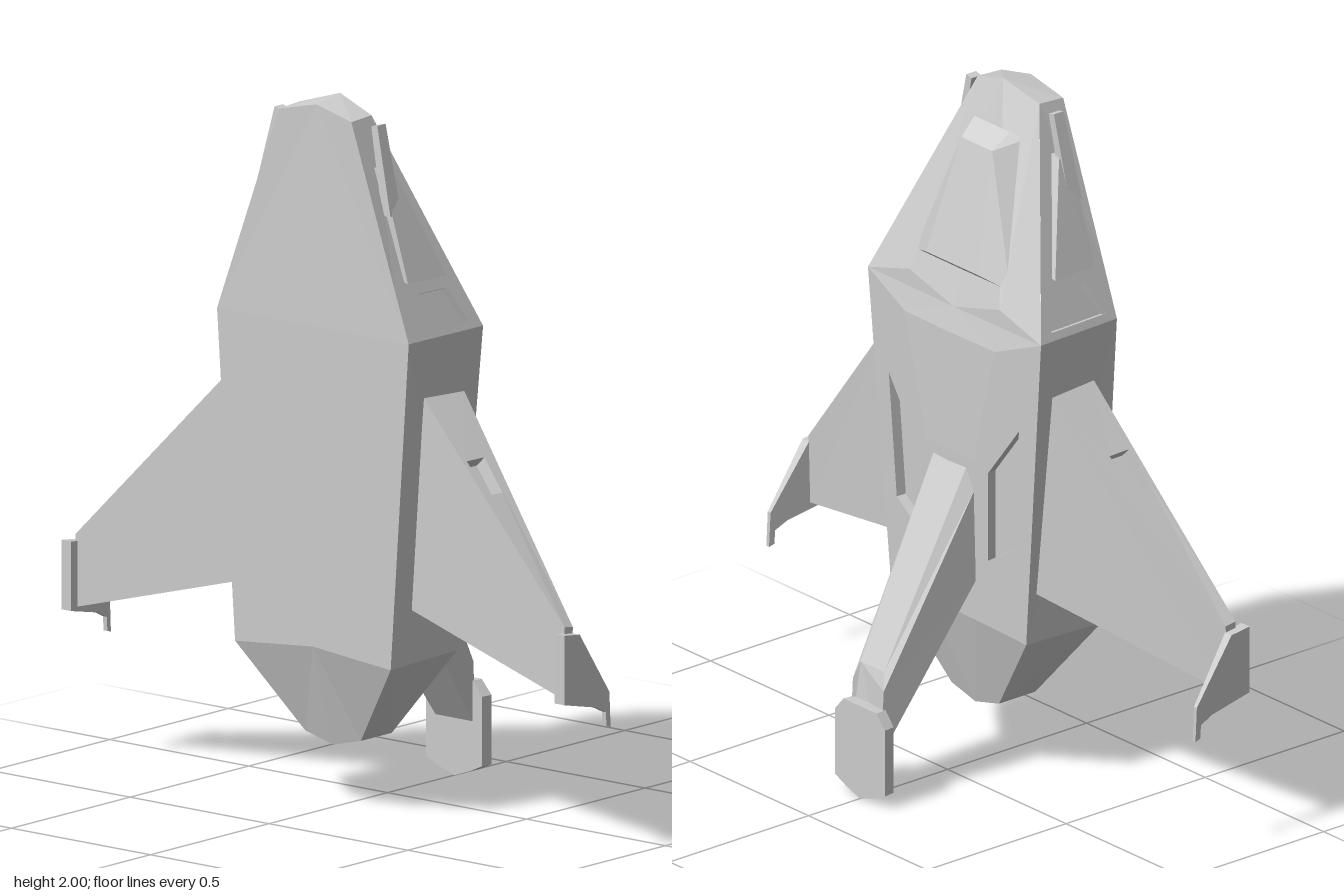
import * as THREE from 'three';

const material = new THREE.MeshStandardMaterial({ color: 0xcccccc, flatShading: true });
const V = (p) => new THREE.Vector3(...p);
const flip = (s, pts) => pts.map(([x, y, z]) => [s * x, y, z]);

// Normal of a loop of points, by summing its fan of triangles
function loopNormal(pts) {
  const n = new THREE.Vector3();
  for (let i = 1; i < pts.length - 1; i++) {
    n.add(pts[i].clone().sub(pts[0]).cross(pts[i + 1].clone().sub(pts[0])));
  }
  return n.normalize();
}

// Faceted solid: each face is a point loop, or { quad, hole, depth } for a sunken opening.
// Every face is turned to look away from the centre.
function solid(name, faces, centre) {
  const out = [];
  const fan = (...pts) => {
    for (let i = 1; i < pts.length - 1; i++) {
      for (const p of [pts[0], pts[i], pts[i + 1]]) out.push(p.x, p.y, p.z);
    }
  };
  for (const face of faces) {
    const pts = (face.quad || face).map(V);
    const mid = pts.reduce((a, p) => a.add(p), new THREE.Vector3()).divideScalar(pts.length);
    const inward = loopNormal(pts).dot(mid.sub(V(centre))) < 0;
    if (!face.quad) {
      if (inward) pts.push(...pts.splice(1).reverse());
      fan(...pts);
      continue;
    }
    // hole corners are (u, v) fractions across the quad, in the same order as its corners
    const hole = face.hole.map(([u, v]) => pts[0].clone().lerp(pts[1], u)
      .lerp(pts[3].clone().lerp(pts[2], u), v));
    if (inward) { pts.reverse(); hole.reverse(); }
    const sink = loopNormal(pts).multiplyScalar(-face.depth);
    const floor = hole.map((p) => p.clone().add(sink));
    for (let i = 0; i < 4; i++) {
      const j = (i + 1) % 4;
      fan(pts[i], pts[j], hole[j], hole[i]);
      fan(hole[i], hole[j], floor[j], floor[i]);
    }
    fan(...floor);
  }
  const g = new THREE.BufferGeometry();
  g.setAttribute('position', new THREE.Float32BufferAttribute(out, 3));
  g.computeVertexNormals();
  const mesh = new THREE.Mesh(g, material);
  mesh.name = name;
  return mesh;
}

// Solid between two matching loops
function bridge(name, a, b) {
  const all = [...a, ...b];
  const centre = [0, 1, 2].map((k) => all.reduce((t, p) => t + p[k], 0) / all.length);
  const sides = a.map((p, i) => [p, a[(i + 1) % a.length], b[(i + 1) % a.length], b[i]]);
  return solid(name, [a, b, ...sides], centre);
}

const rect = (u0, u1, v0, v1) => [[u0, v0], [u1, v0], [u1, v1], [u0, v1]];

function hull() {
  // centre line points
  const noseBack = [0, 2, 0.2], noseBelly = [0, 1.985, 0.3];
  const shoulderMid = [0, 1.37, 0.022], tailBelly = [0, 0.465, 0.315];
  const endBelly = [0, 0.175, 0.23], endBack = [0, 0.175, 0.1];
  const faces = [];
  const pair = {};
  for (const s of [1, -1]) {
    const [noseB, noseF, shB, shF, tailB, tailF, brow, ridgeTop, finTop, ridgeEnd, endF, endB, midB, midF] =
      flip(s, [[0.13, 1.96, 0.22], [0.13, 1.955, 0.305], [0.365, 1.37, 0.025], [0.345, 1.365, 0.315],
        [0.285, 0.45, 0.04], [0.28, 0.44, 0.315], [0.19, 1.42, 0.025], [0.19, 1.3, 0.008],
        [0.1, 0.95, 0.008], [0.1, 0.47, 0.02], [0.1, 0.2, 0.23], [0.1, 0.2, 0.1],
        [0.311, 1.505, 0.07], [0.294, 1.505, 0.313]]);
    pair[s] = { noseF, endF, endB };
    faces.push(
      // nose tip, nose back and cheeks
      [noseBack, noseB, noseF, noseBelly],
      [noseBack, noseB, brow, shoulderMid], [noseB, shB, brow], [brow, shB, shoulderMid],
      [midF, midB, noseB, noseF],
      { quad: [shF, shB, midB, midF], hole: [[0.13, 0.16], [0.86, 0.16], [0.79, 0.86], [0.32, 0.86]], depth: 0.025 },
      // belly
      [noseBelly, noseF, shF, [0, 1.365, 0.315]], [[0, 1.365, 0.315], shF, tailF, tailBelly],
      // side wall, back deck and vented back plate
      [shF, shB, tailB, tailF],
      [shoulderMid, shB, ridgeTop, [0, 1.3, 0.005]], [shB, ridgeTop, finTop],
      [[0, 1.3, 0.005], ridgeTop, finTop, [0, 0.95, 0.006]],
      [[0, 0.95, 0.006], finTop, ridgeEnd, [0, 0.47, 0.02]],
      { quad: [shB, finTop, ridgeEnd, tailB], hole: rect(0.3, 0.78, 0.2, 0.66), depth: 0.03 },
      // tail taper
      [tailBelly, tailF, endF, endBelly], [tailF, tailB, endB, endF],
      [tailB, ridgeEnd, endB], [ridgeEnd, [0, 0.47, 0.02], endBack, endB],
      // tail nozzle, one half each side
      { quad: [endBelly, endF, endB, endBack], hole: rect(0, 0.8, 0.18, 0.82), depth: 0.05 },
    );
  }
  return solid('hull', faces, [0, 0.95, 0.17]);
}

function canopy() {
  const side = (s) => flip(s, [[0.075, 1.875, 0.16], [0.065, 1.83, 0.105], [0.11, 1.5, 0.016],
    [0.2, 1.47, 0.055], [0.115, 1.86, 0.19]]);
  const [t, u, v, x, w] = side(1), [t2, u2, v2, x2, w2] = side(-1);
  return solid('canopy', [[t, t2, u2, u], [u, u2, v2, v], [v, v2, x2, x],
    [u, v, x, w], [u2, v2, x2, w2], [t, u, w], [t2, u2, w2]], [0, 1.65, 0.2]);
}

function wing(s) {
  const [lb, lf, tb, tf, LB, LF, TB, TF] = flip(s, [
    [0.34, 1.2, 0.08], [0.335, 1.2, 0.24], [0.288, 0.6, 0.065], [0.285, 0.6, 0.24],
    [0.88, 0.64, 0.25], [0.88, 0.645, 0.285], [0.88, 0.44, 0.255], [0.88, 0.44, 0.285]]);
  return solid('wing', [
    { quad: [lb, LB, LF, lf], hole: rect(0.28, 0.43, 0.3, 0.88), depth: 0.04 },
    [lb, tb, TB, LB], [lf, tf, TF, LF], [tb, tf, TF, TB], [LB, LF, TF, TB], [lb, lf, tf, tb],
  ], [s * 0.5, 0.75, 0.21]);
}

// Hooked plate at the wing tip, thinning toward the back
function winglet(s) {
  const outline = [[0.315, 0.63], [0.25, 0.622], [0.125, 0.44], [0.12, 0.34], [0.137, 0.345],
    [0.14, 0.385], [0.18, 0.405], [0.315, 0.435]];
  const shape = new THREE.Shape(outline.map(([z, y]) => new THREE.Vector2(-z, y)));
  const g = new THREE.ExtrudeGeometry(shape, { depth: 1, bevelEnabled: false }).rotateY(Math.PI / 2);
  const p = g.attributes.position;
  for (let i = 0; i < p.count; i++) {
    const t = s > 0 ? p.getX(i) : 1 - p.getX(i);
    const inner = 0.87 + (0.315 - p.getZ(i)) * 0.12;
    p.setX(i, s * THREE.MathUtils.lerp(inner, 0.905, t));
  }
  g.computeVertexNormals();
  const mesh = new THREE.Mesh(g, material);
  mesh.name = 'winglet';
  return mesh;
}

// Raised wedge on the nose cheek
const cheekPanel = (s) => bridge('cheekPanel',
  flip(s, [[0.28, 1.525, 0.27], [0.29, 1.525, 0.12], [0.17, 1.83, 0.22], [0.165, 1.83, 0.265]]),
  flip(s, [[0.304, 1.52, 0.27], [0.314, 1.52, 0.12], [0.21, 1.82, 0.222], [0.207, 1.82, 0.265]]));

const gun = (s) => bridge('noseGun',
  flip(s, [[0.215, 1.7, 0.23], [0.245, 1.7, 0.23], [0.245, 1.7, 0.275], [0.215, 1.7, 0.275]]),
  flip(s, [[0.163, 1.94, 0.225], [0.185, 1.945, 0.225], [0.185, 1.945, 0.26], [0.163, 1.94, 0.26]]));

const tailFin = () => bridge('tailFin',
  [[0.07, 0.95, 0.025], [0.1, 0.88, 0.025], [0.1, 0.6, 0.025],
    [-0.1, 0.6, 0.025], [-0.1, 0.88, 0.025], [-0.07, 0.95, 0.025]],
  [[0.05, 0.38, -0.27], [0.065, 0.33, -0.285], [0.065, 0.14, -0.295],
    [-0.065, 0.14, -0.295], [-0.065, 0.33, -0.285], [-0.05, 0.38, -0.27]]);

// Many-sided plate at the end of the fin
function finTip() {
  const half = [[0.07, 0.275], [0.105, 0.235], [0.105, 0.04], [0.06, 0.02]];
  const pts = [...half, [0, 0], ...half.map(([x, y]) => [-x, y]).reverse()];
  const at = (z, k) => pts.map(([x, y]) => [x * k, y, z]);
  return bridge('finTipPlate', at(-0.28, 0.96), at(-0.315, 1));
}

export function createModel() {
  const model = new THREE.Group();
  model.name = 'spacecraft';
  model.add(hull(), canopy(), tailFin(), finTip());
  for (const s of [1, -1]) {
    const side = new THREE.Group();
    side.name = s > 0 ? 'leftSide' : 'rightSide';
    side.add(wing(s), winglet(s), cheekPanel(s), gun(s));
    model.add(side);
  }
  return model;
}
